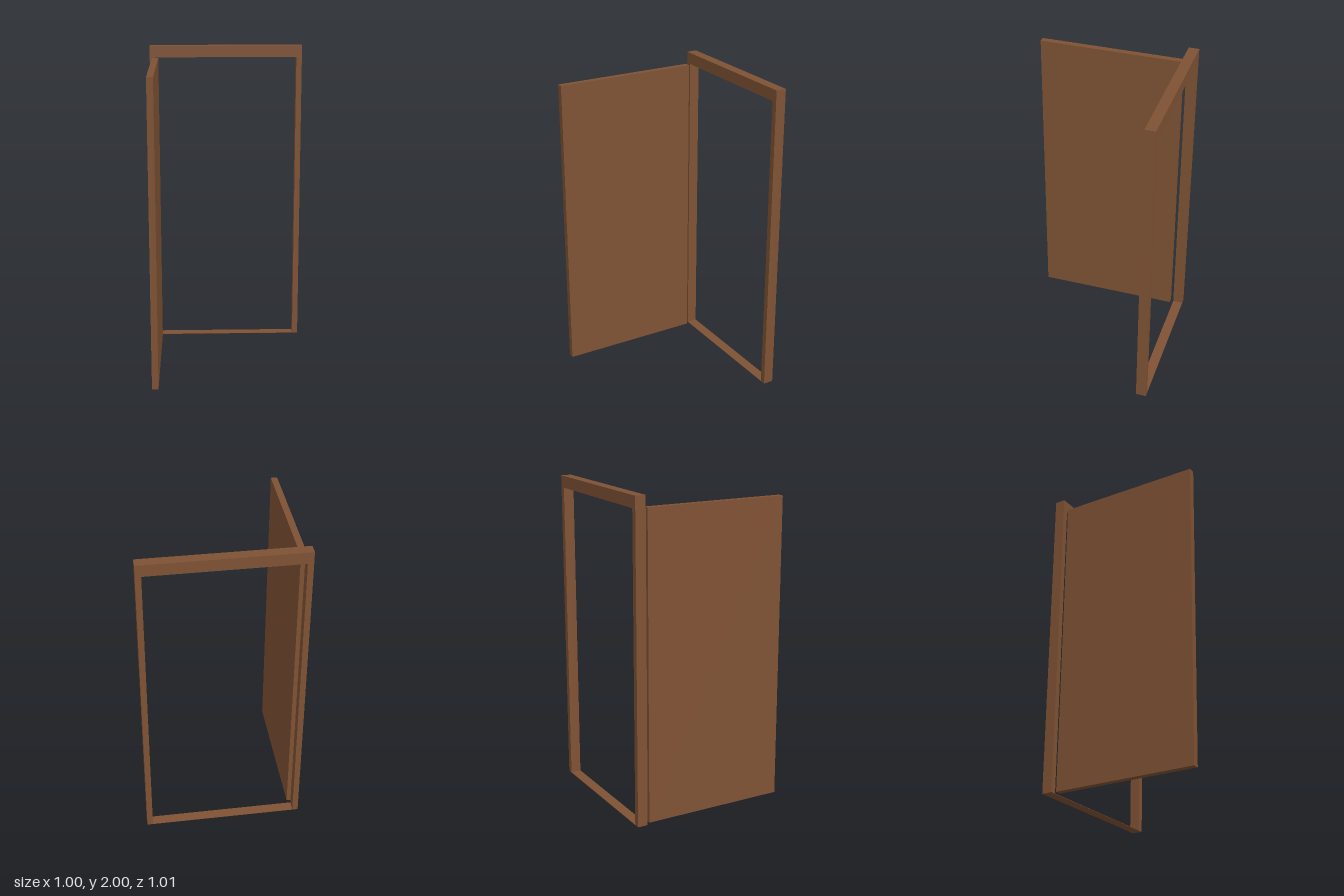
import * as THREE from 'three';

export function createModel() {
  const group = new THREE.Group();
  group.name = 'openDoorway';
  const wood = new THREE.MeshStandardMaterial({ color: 0x7f5234 });
  wood.name = 'brown wood';

  // Box given by its lowest and highest corners
  const box = (name, [x0, y0, z0], [x1, y1, z1]) => {
    const mesh = new THREE.Mesh(new THREE.BoxGeometry(x1 - x0, y1 - y0, z1 - z0), wood);
    mesh.name = name;
    mesh.position.set((x0 + x1) / 2, (y0 + y1) / 2, (z0 + z1) / 2);
    group.add(mesh);
  };

  const half = 0.498, post = 0.036, lintelY = 1.926;
  const back = -0.503, front = -0.437;

  // Frame: two posts, a lintel and a very thin threshold
  box('rightPost', [-half, 0, back], [-half + post, lintelY, front]);
  box('leftPost', [half - post, 0, back], [half, lintelY, front]);
  box('lintel', [-half, lintelY, back], [half, 2, front]);
  box('threshold', [-half + post, 0, back], [half - post, 0.002, front]);

  // Door leaf, swung open at a right angle
  box('doorLeaf', [-0.481, 0.003, -0.416], [-0.441, lintelY, 0.503]);

  return group;
}
